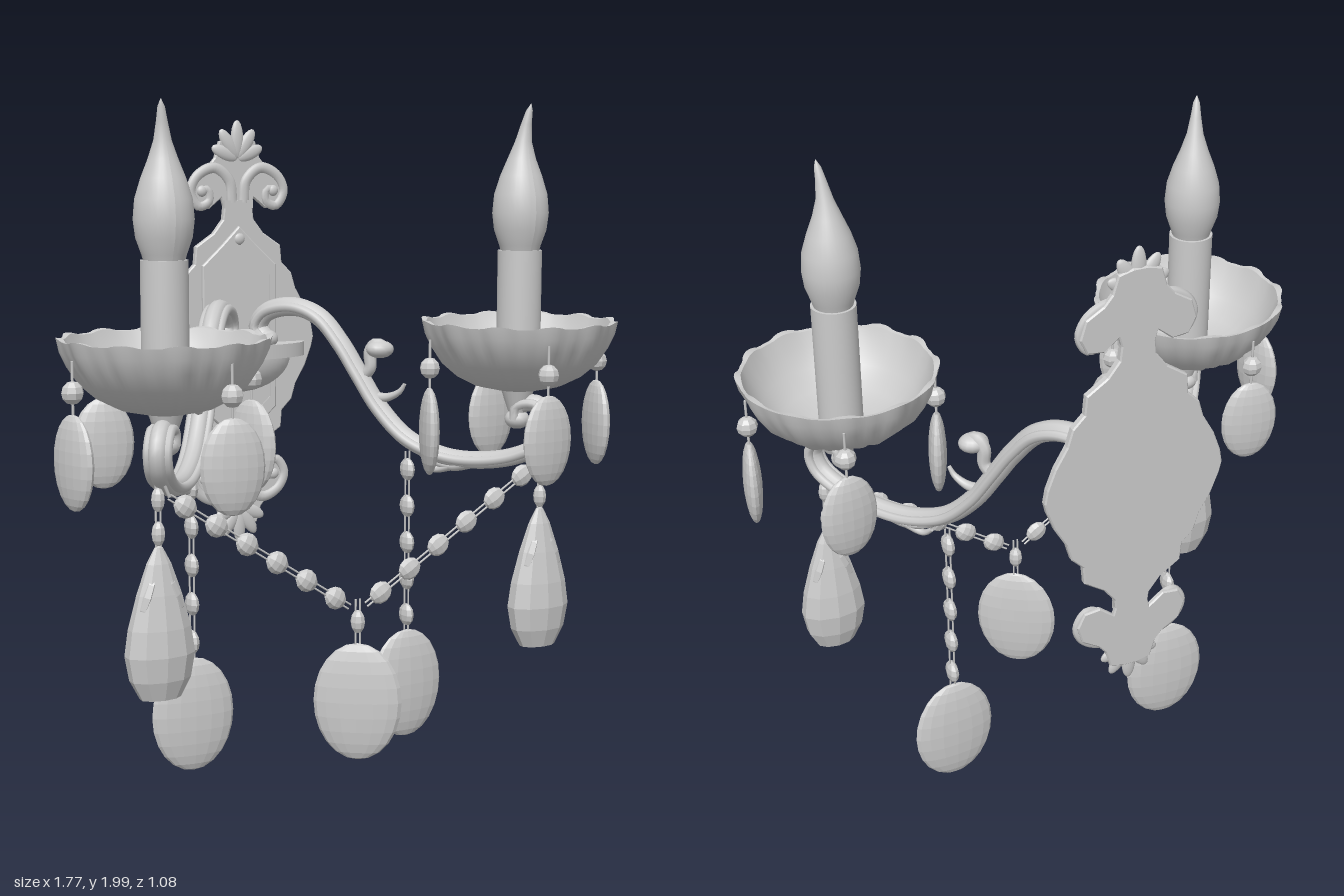
import * as THREE from 'three';
import { toCreasedNormals } from 'three/addons/utils/BufferGeometryUtils.js';

const smooth = new THREE.MeshStandardMaterial({ color: 0xcccccc, side: THREE.DoubleSide });
const facet = new THREE.MeshStandardMaterial({ color: 0xcccccc, flatShading: true });
const V = (x, y, z) => new THREE.Vector3(x, y, z);
const UP = V(0, 1, 0);

function add(parent, name, geo, x = 0, y = 0, z = 0, mat = smooth) {
  const m = new THREE.Mesh(geo, mat);
  m.name = name;
  m.position.set(x, y, z);
  parent.add(m);
  return m;
}
function ball(parent, name, x, y, z, rx, ry, rz, mat = smooth, segs = 16, rings = 10) {
  const m = add(parent, name, new THREE.SphereGeometry(1, segs, rings), x, y, z, mat);
  m.scale.set(rx, ry, rz);
  return m;
}
function rod(parent, name, a, b, r) {
  const m = add(parent, name, new THREE.CylinderGeometry(r, r, a.distanceTo(b), 6));
  m.position.copy(a).add(b).multiplyScalar(0.5);
  m.quaternion.setFromUnitVectors(UP, b.clone().sub(a).normalize());
}
// Tube whose radius runs from r0 to r1
function taperTube(points, r0, r1, segs = 24, radial = 8) {
  const curve = new THREE.CatmullRomCurve3(points);
  const geo = new THREE.TubeGeometry(curve, segs, 1, radial);
  const p = geo.attributes.position, v = V();
  for (let i = 0; i < p.count; i++) {
    const t = Math.floor(i / (radial + 1)) / segs;
    const c = curve.getPointAt(t);
    v.fromBufferAttribute(p, i).sub(c).multiplyScalar(r0 + (r1 - r0) * t).add(c);
    p.setXYZ(i, v.x, v.y, v.z);
  }
  return geo;
}

// Cut-glass beads strung on a pair of thin wires
function chain(parent, name, a, b, n, size) {
  const g = new THREE.Group();
  g.name = name;
  parent.add(g);
  const dir = b.clone().sub(a).normalize();
  const off = V(-dir.y, dir.x, 0).multiplyScalar(0.007);
  for (const k of [-1, 1]) {
    const o = off.clone().multiplyScalar(k);
    rod(g, 'wire', a.clone().add(o), b.clone().add(o), 0.003);
  }
  for (let i = 0; i < n; i++) {
    const c = a.clone().lerp(b, (i + 0.5) / n);
    ball(g, 'bead', c.x, c.y, c.z, ...size, facet, 8, 6).quaternion.setFromUnitVectors(UP, dir);
  }
}
function ovalCrystal(parent, name, x, y, z, w, h, turn, depth = 0.03) {
  ball(parent, name, x, y, z, w, h, depth, facet, 16, 12).rotation.y = turn;
}

// Mirrored outline from the points of its right half
function halfShape(half, cx = 0, cy = 0, k = 1) {
  const left = half.filter(p => p[0] > 0).reverse().map(([x, y]) => [-x, y]);
  return [...half, ...left].map(([x, y]) => new THREE.Vector2(cx + x * k, cy + (y - cy) * k));
}
function plate(parent, name, half, z, depth, hole, cy) {
  const s = new THREE.Shape(halfShape(half));
  if (hole) s.holes.push(new THREE.Path(halfShape(half, 0, cy, hole)));
  add(parent, name, new THREE.ExtrudeGeometry(s, {
    depth, bevelEnabled: true, bevelSize: 0.004, bevelThickness: 0.004, bevelSegments: 1 }), 0, 0, z);
}

function wallPlate(root) {
  const g = new THREE.Group();
  g.name = 'wallPlate';
  root.add(g);
  const upper = [[0.045, 1.69], [0.05, 1.645], [0.085, 1.6], [0.145, 1.56], [0.15, 1.505],
    [0.185, 1.47], [0.2, 1.42], [0.235, 1.36], [0.258, 1.3], [0.265, 1.26]];
  const outline = [...upper, ...upper.slice(0, -1).reverse().map(([x, y]) => [x, 2.53 - y])];
  plate(g, 'backPlate', outline, -0.536, 0.01);
  plate(g, 'plateRim', outline, -0.526, 0.006, 0.9, 1.265);
  const panel = [[0, 1.62], [0.06, 1.56], [0.125, 1.5], [0.125, 1.04], [0.06, 0.98], [0, 0.92]];
  plate(g, 'panelFrame', panel, -0.526, 0.012, 0.86, 1.27);
  for (const y of [1.585, 0.955]) ball(g, 'rivet', 0, y, -0.515, 0.02, 0.02, 0.012);

  // Crest of scrolls and fan petals, repeated upside down below
  for (const k of [1, -1]) {
    const c = new THREE.Group();
    c.name = k > 0 ? 'topCrest' : 'bottomCrest';
    c.position.y = k > 0 ? 0 : 2.55;
    if (k < 0) c.rotation.z = Math.PI;
    g.add(c);
    plate(c, 'crestPlate', [[0.04, 1.67], [0.055, 1.72], [0.1, 1.685], [0.145, 1.69], [0.165, 1.73],
      [0.15, 1.78], [0.1, 1.81], [0.075, 1.84], [0.06, 1.89], [0.02, 1.9]], -0.536, 0.01);
    add(c, 'neckBand', new THREE.BoxGeometry(0.1, 0.025, 0.022), 0, 1.695, -0.525);
    for (const s of [-1, 1]) {
      const pts = [[0.02, 1.7], [0.03, 1.77], [0.08, 1.81], [0.14, 1.785], [0.163, 1.735], [0.135, 1.69],
        [0.1, 1.705], [0.103, 1.74], [0.128, 1.74]].map(([x, y]) => V(s * x, y, 0));
      add(c, 'scroll', taperTube(pts, 0.02, 0.014, 40), 0, 0, -0.524).scale.z = 0.6;
      ball(c, 'scrollEye', s * 0.125, 1.737, -0.524, 0.018, 0.018, 0.012);
    }
    for (const a of [-1.15, -0.55, 0, 0.55, 1.15]) {
      const l = 0.062 - 0.012 * Math.abs(a);
      ball(c, 'fanPetal', Math.sin(a) * l, 1.836 + Math.cos(a) * l, -0.526, 0.022, l, 0.012).rotation.z = -a;
    }
  }

  // Half-round shelf and the bowl under it
  const shelf = add(g, 'shelf', new THREE.CylinderGeometry(1, 1, 0.045, 32, 1, false, -Math.PI / 2, Math.PI), 0, 1.225, -0.53);
  shelf.scale.set(0.235, 1, 0.105);
  add(g, 'shelfBowl', new THREE.SphereGeometry(1, 24, 10, 0, Math.PI, Math.PI / 2, Math.PI / 2), 0, 1.205, -0.53)
    .scale.set(0.185, 0.115, 0.08);
}

// Drip bowl with overlapping petals outside and a smooth inside
function bowlGeometry() {
  const outer = [[0.001, 1.15], [0.06, 1.15], [0.13, 1.165], [0.185, 1.195], [0.23, 1.235], [0.262, 1.285], [0.28, 1.325], [0.288, 1.358]];
  const inner = [[0.278, 1.356], [0.262, 1.315], [0.225, 1.255], [0.17, 1.205], [0.1, 1.178], [0.001, 1.172]];
  const profile = [...outer, ...inner].map(p => new THREE.Vector2(...p));
  const geo = new THREE.LatheGeometry(profile, 120);
  const p = geo.attributes.position;
  for (let i = 0; i < p.count; i++) {
    const j = i % profile.length;
    const x = p.getX(i), y = p.getY(i), z = p.getZ(i);
    const h = (y - 1.15) / 0.21;
    const u = Math.atan2(z, x) / (Math.PI * 2) * 12 + 12;
    const petal = f => Math.max(0, 1 - (Math.abs((u + f) % 1 - 0.5) / (0.14 + 0.36 * h)) ** 2);
    const bump = Math.max(petal(0), 0.6 * petal(0.5));
    const k = j < outer.length ? 1 + (bump - 0.55) * 0.075 * Math.min(1, h * 5) : 1;
    const rim = j === outer.length - 1 || j === outer.length ? (bump - 0.7) * 0.02 : 0;
    p.setXYZ(i, x * k, y + rim, z * k);
  }
  return toCreasedNormals(geo, 0.7);
}

function flameGeometry(s) {
  const geo = new THREE.LatheGeometry([[0.055, 1.56], [0.062, 1.585], [0.078, 1.63], [0.084, 1.68], [0.079, 1.735], [0.062, 1.79],
    [0.042, 1.84], [0.025, 1.89], [0.016, 1.94], [0.01, 1.98], [0.001, 2]].map(p => new THREE.Vector2(...p)), 32);
  const p = geo.attributes.position;
  for (let i = 0; i < p.count; i++) {
    const t = Math.max(0, (p.getY(i) - 1.8) / 0.2);
    p.setX(i, p.getX(i) + s * 0.015 * t * t);
    p.setZ(i, p.getZ(i) + 0.025 * t * t);
  }
  geo.computeVertexNormals();
  return geo;
}

function lightArm(root, s) {
  const g = new THREE.Group();
  g.name = s > 0 ? 'leftLight' : 'rightLight';
  root.add(g);
  const cx = s * 0.575, cz = 0.235;
  // Points of the arm's upright plane, given by z and y
  const at = ([z, y], o = 0) => V(cx - s * 0.71 * (cz - z) + o * 0.816, y, z - o * s * 0.579);

  // Ribbed S-shaped arm
  const path = [[-0.47, 1.265], [-0.495, 1.3], [-0.475, 1.345], [-0.43, 1.368], [-0.37, 1.37], [-0.31, 1.34], [-0.25, 1.26], [-0.2, 1.17],
    [-0.14, 1.065], [-0.06, 0.975], [0.04, 0.93], [0.14, 0.925], [0.24, 0.95], [0.31, 1.0], [0.325, 1.06], [0.29, 1.11], [0.24, 1.1], [0.235, 1.06]];
  add(g, 'arm', taperTube(path.map(q => at(q)), 0.031, 0.026, 90, 12));
  for (const o of [-0.027, 0.027]) add(g, 'armRib', taperTube(path.map(q => at(q, o)), 0.016, 0.014, 90));
  for (const q of [path[0], path[path.length - 1]]) {
    const e = at(q);
    ball(g, 'armTip', e.x, e.y, e.z, 0.038, 0.03, 0.038);
  }
  // Curling leaves along the arm
  const leaf = (pts, r0, r1) => add(g, 'armLeaf', taperTube(pts.map(q => at(q)), r0, r1));
  leaf([[-0.2, 1.15], [-0.168, 1.19], [-0.168, 1.24], [-0.15, 1.265], [-0.125, 1.25]], 0.018, 0.022);
  const tip = at([-0.14, 1.25]);
  ball(g, 'leafCurl', tip.x, tip.y, tip.z, 0.045, 0.028, 0.038);
  leaf([[-0.17, 1.1], [-0.12, 1.1], [-0.085, 1.12], [-0.07, 1.145]], 0.02, 0.006);
  for (const [z, y] of [[-0.01, 0.885], [0.005, 0.905], [-0.03, 0.92]])
    leaf([[0.12, 0.92], [0.06, 0.9], [z + 0.02, y], [z - 0.005, y + 0.02]], 0.022, 0.007);

  // Bowl, candle and flame bulb
  add(g, 'bowlStem', new THREE.CylinderGeometry(0.055, 0.028, 0.08, 20), cx, 1.125, cz);
  add(g, 'dripBowl', bowlGeometry(), cx, 0, cz);
  add(g, 'candle', new THREE.CylinderGeometry(0.066, 0.066, 0.4, 32), cx, 1.37, cz);
  add(g, 'flameBulb', flameGeometry(s), cx, 0, cz);

  // Oval crystals around the rim: outward offset from the bowl centre
  for (const [dx, dz, turn] of [[0.277, 0.02, 1.35], [-0.075, 0.272, 0.15], [-0.282, -0.045, 1.2], [0.08, -0.272, 0.15]]) {
    const x = cx + s * dx, z = cz + dz;
    rod(g, 'hook', V(x, 1.31, z), V(x, 1.15, z), 0.004);
    ball(g, 'rimBead', x, 1.225, z, 0.032, 0.032, 0.028, facet, 8, 6);
    ovalCrystal(g, 'rimCrystal', x, 1.035, z, 0.09, 0.132, s * turn, 0.028);
  }

  // Faceted teardrop under the end of the arm
  const tx = s * 0.625, tz = 0.29;
  chain(g, 'teardropChain', V(tx, 0.97, tz), V(tx, 0.78, tz), 2, [0.02, 0.035, 0.02]);
  const drop = add(g, 'teardrop', new THREE.LatheGeometry([[0.001, 0.36], [0.06, 0.365], [0.09, 0.42], [0.103, 0.49], [0.092, 0.565],
    [0.066, 0.66], [0.036, 0.745], [0.012, 0.79], [0.001, 0.795]].map(p => new THREE.Vector2(...p)), 10), tx, 0, tz, facet);
  drop.scale.z = 0.58;
  for (const k of [-1, 1]) ball(g, 'teardropLeaf', tx + k * 0.04, 0.655, tz, 0.02, 0.075, 0.035, facet, 8, 6).rotation.z = k * 0.35;

  // Upright chain with a large oval
  chain(g, 'dropChain', V(s * 0.37, 0.934, -0.07), V(s * 0.37, 0.35, -0.07), 5, [0.018, 0.036, 0.036]);
  ovalCrystal(g, 'largeOval', s * 0.37, 0.185, -0.07, 0.13, 0.175, s * 0.06);

  // Half of the swag between the arms
  rod(g, 'swagHook', at([0.31, 1.0]), V(s * 0.5975, 0.93, 0.305), 0.005);
  chain(g, 'swag', V(s * 0.5975, 0.93, 0.305), V(s * 0.0275, 0.555, 0.285), 6, [0.033, 0.036, 0.02]);
}

export function createModel() {
  const root = new THREE.Group();
  root.name = 'wallLight';
  wallPlate(root);
  for (const s of [-1, 1]) lightArm(root, s);
  // Middle crystal where the swags meet
  chain(root, 'centreLink', V(0, 0.575, 0.285), V(0, 0.44, 0.285), 1, [0.022, 0.035, 0.022]);
  ovalCrystal(root, 'centreOval', 0, 0.267, 0.285, 0.13, 0.176, -0.6);
  return root;
}
